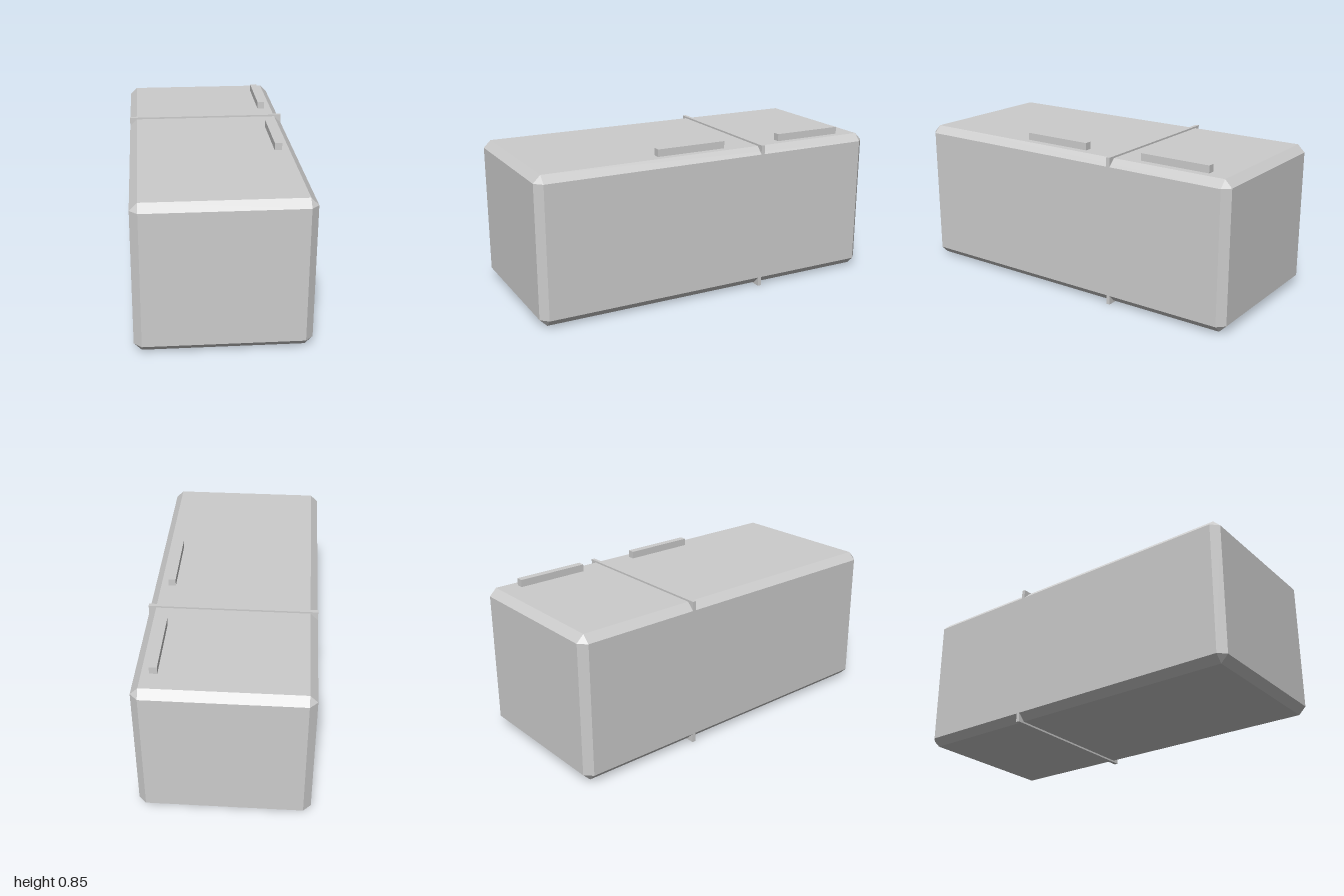
import * as THREE from 'three';
import { ConvexGeometry } from 'three/addons/geometries/ConvexGeometry.js';

// Box with flat chamfers on every edge and triangular corners
function chamferedBox(w, h, d, c) {
  const points = [];
  for (const sx of [-1, 1]) for (const sy of [-1, 1]) for (const sz of [-1, 1]) {
    const x = w / 2, y = h / 2, z = d / 2;
    points.push(
      new THREE.Vector3(sx * x, sy * (y - c), sz * (z - c)),
      new THREE.Vector3(sx * (x - c), sy * y, sz * (z - c)),
      new THREE.Vector3(sx * (x - c), sy * (y - c), sz * z)
    );
  }
  return new ConvexGeometry(points);
}

export function createModel() {
  const group = new THREE.Group();
  group.name = 'refrigerator';

  const grey = new THREE.MeshStandardMaterial({ color: 0xcccccc });
  grey.name = 'light grey';

  const add = (name, geometry, x, y, z) => {
    const mesh = new THREE.Mesh(geometry, grey);
    mesh.name = name;
    mesh.position.set(x, y, z);
    group.add(mesh);
  };

  // Cabinet lying on its back, doors facing up
  add('cabinet', chamferedBox(0.9, 0.8, 2, 0.04), 0, 0.41, 0);

  // Thin band between the freezer and the fridge compartment
  add('doorDivider', new THREE.BoxGeometry(0.9, 0.82, 0.02), 0, 0.41, -0.3);

  // One bar handle per door
  const handle = new THREE.BoxGeometry(0.04, 0.04, 0.4);
  add('fridgeHandle', handle, 0.35, 0.83, 0.1);
  add('freezerHandle', handle, 0.35, 0.83, -0.65);

  return group;
}
